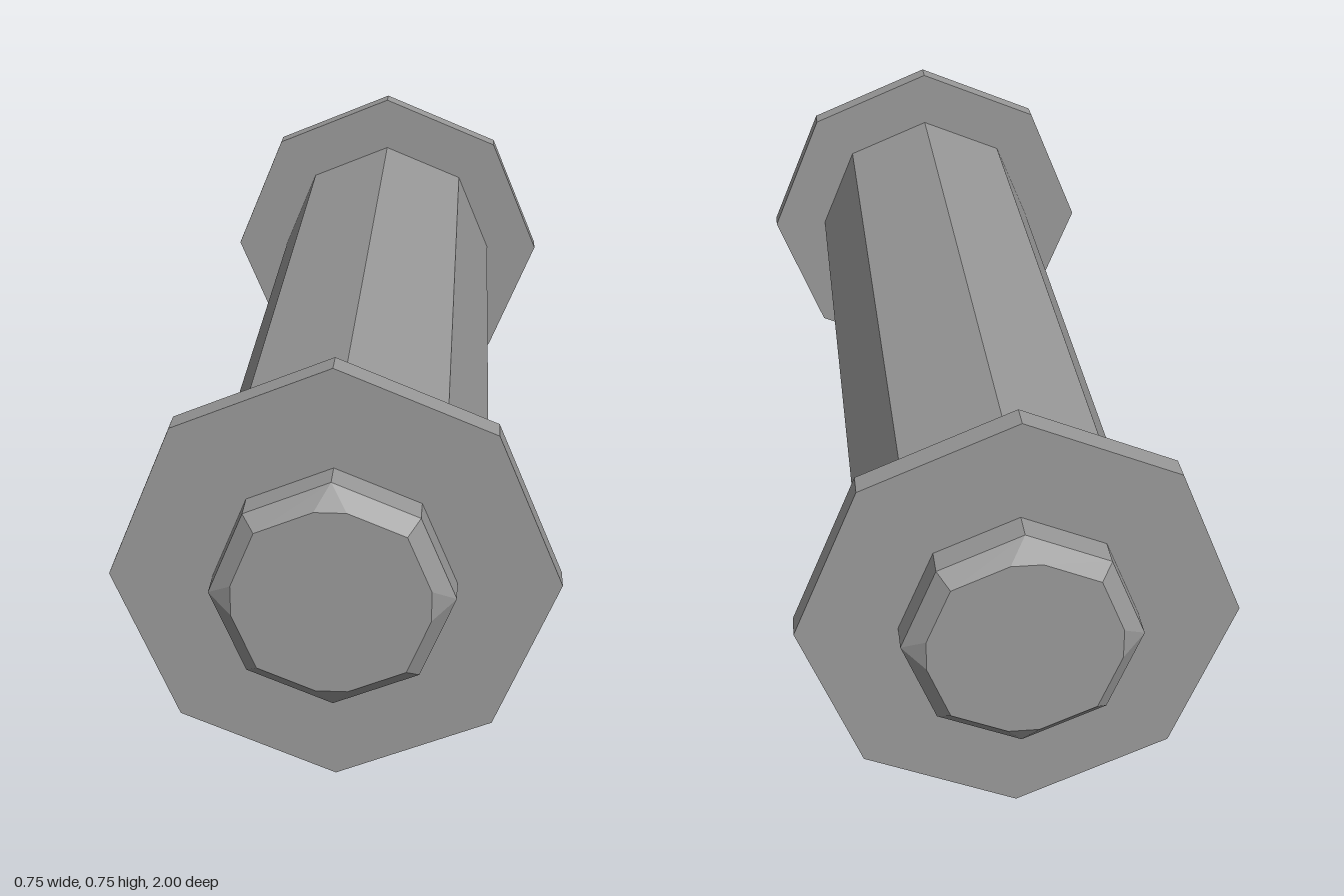
import * as THREE from 'three';
import { ConvexGeometry } from 'three/addons/geometries/ConvexGeometry.js';

const SIDES = 8;
const AXIS_Y = 0.374;

// Octagonal prism lying along z, with a corner pointing up
function prism(name, radius, length, z, material) {
  const geometry = new THREE.CylinderGeometry(radius, radius, length, SIDES);
  geometry.rotateX(Math.PI / 2);
  const mesh = new THREE.Mesh(geometry, material);
  mesh.name = name;
  mesh.position.z = z;
  return mesh;
}

// End cap: octagonal sides, bevelled rim, face with its four axis corners clipped
function capGeometry() {
  const outer = 0.202, inner = 0.173, clip = 0.162;
  const half = (inner - clip) / Math.tan(Math.PI / 8);
  const points = [];
  for (let i = 0; i < SIDES; i++) {
    const a = (i * Math.PI * 2) / SIDES;
    const c = Math.cos(a), s = Math.sin(a);
    points.push(new THREE.Vector3(c * outer, s * outer, 0.915));
    points.push(new THREE.Vector3(c * outer, s * outer, 0.972));
    if (i % 2) {
      points.push(new THREE.Vector3(c * inner, s * inner, 1));
    } else {
      for (const side of [-half, half]) {
        points.push(new THREE.Vector3(c * clip - s * side, s * clip + c * side, 1));
      }
    }
  }
  return new ConvexGeometry(points);
}

export function createModel() {
  const group = new THREE.Group();
  group.name = 'roller';
  const grey = new THREE.MeshStandardMaterial({ color: 0x999999, flatShading: true });
  grey.name = 'grey';

  const assembly = new THREE.Group();
  assembly.name = 'rollerAssembly';
  assembly.position.y = AXIS_Y;
  group.add(assembly);

  // Central barrel
  assembly.add(prism('barrel', 0.254, 1.75, 0, grey));

  // Matching flange and cap at each end
  const cap = capGeometry();
  for (const [label, turn] of [['front', 0], ['back', Math.PI]]) {
    const end = new THREE.Group();
    end.name = label + 'End';
    end.rotation.y = turn;
    end.add(prism(label + 'Flange', 0.374, 0.048, 0.894, grey));
    const capMesh = new THREE.Mesh(cap, grey);
    capMesh.name = label + 'Cap';
    end.add(capMesh);
    assembly.add(end);
  }
  return group;
}
